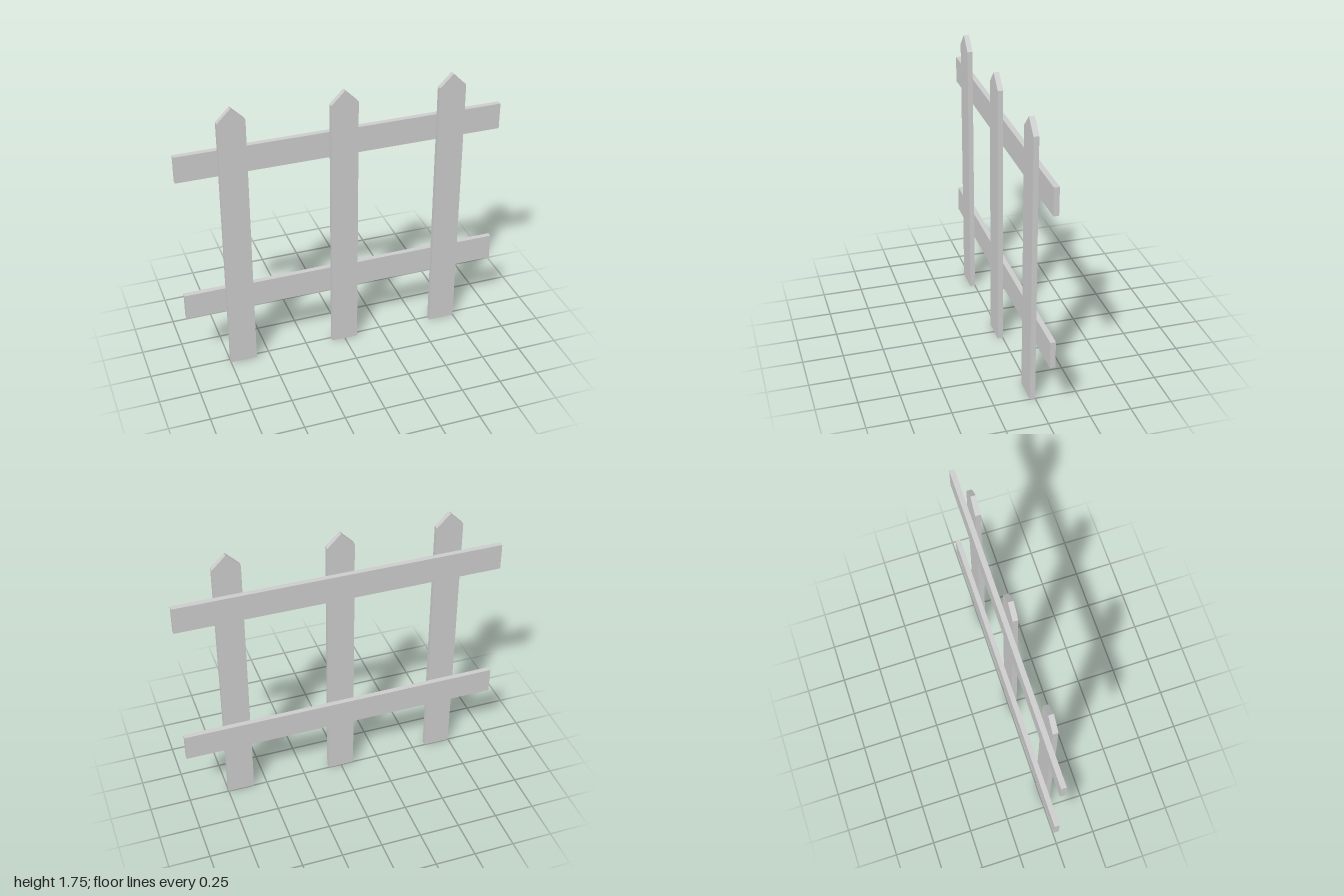
import * as THREE from 'three';

const BOARD_WIDTH = 0.166;
const THICKNESS = 0.032;
const SHOULDER_HEIGHT = 1.67;
const TIP_HEIGHT = 1.753;

// Upright board with a pointed top, its back on z = 0
function picketGeometry() {
  const w = BOARD_WIDTH / 2;
  const outline = new THREE.Shape([
    new THREE.Vector2(-w, 0),
    new THREE.Vector2(w, 0),
    new THREE.Vector2(w, SHOULDER_HEIGHT),
    new THREE.Vector2(0, TIP_HEIGHT),
    new THREE.Vector2(-w, SHOULDER_HEIGHT),
  ]);
  return new THREE.ExtrudeGeometry(outline, { depth: THICKNESS, bevelEnabled: false });
}

export function createModel() {
  const fence = new THREE.Group();
  fence.name = 'picketFence';
  const material = new THREE.MeshStandardMaterial({ color: 0xcccccc, flatShading: true });

  // Three pickets in front
  const picket = picketGeometry();
  [['rightPicket', -0.667], ['middlePicket', 0], ['leftPicket', 0.667]].forEach(([name, x]) => {
    const mesh = new THREE.Mesh(picket, material);
    mesh.name = name;
    mesh.position.x = x;
    fence.add(mesh);
  });

  // Two horizontal rails behind the pickets
  const rail = new THREE.BoxGeometry(2, BOARD_WIDTH, THICKNESS);
  [['lowerRail', 0.462], ['upperRail', 1.407]].forEach(([name, y]) => {
    const mesh = new THREE.Mesh(rail, material);
    mesh.name = name;
    mesh.position.set(0, y, -THICKNESS / 2);
    fence.add(mesh);
  });

  return fence;
}
